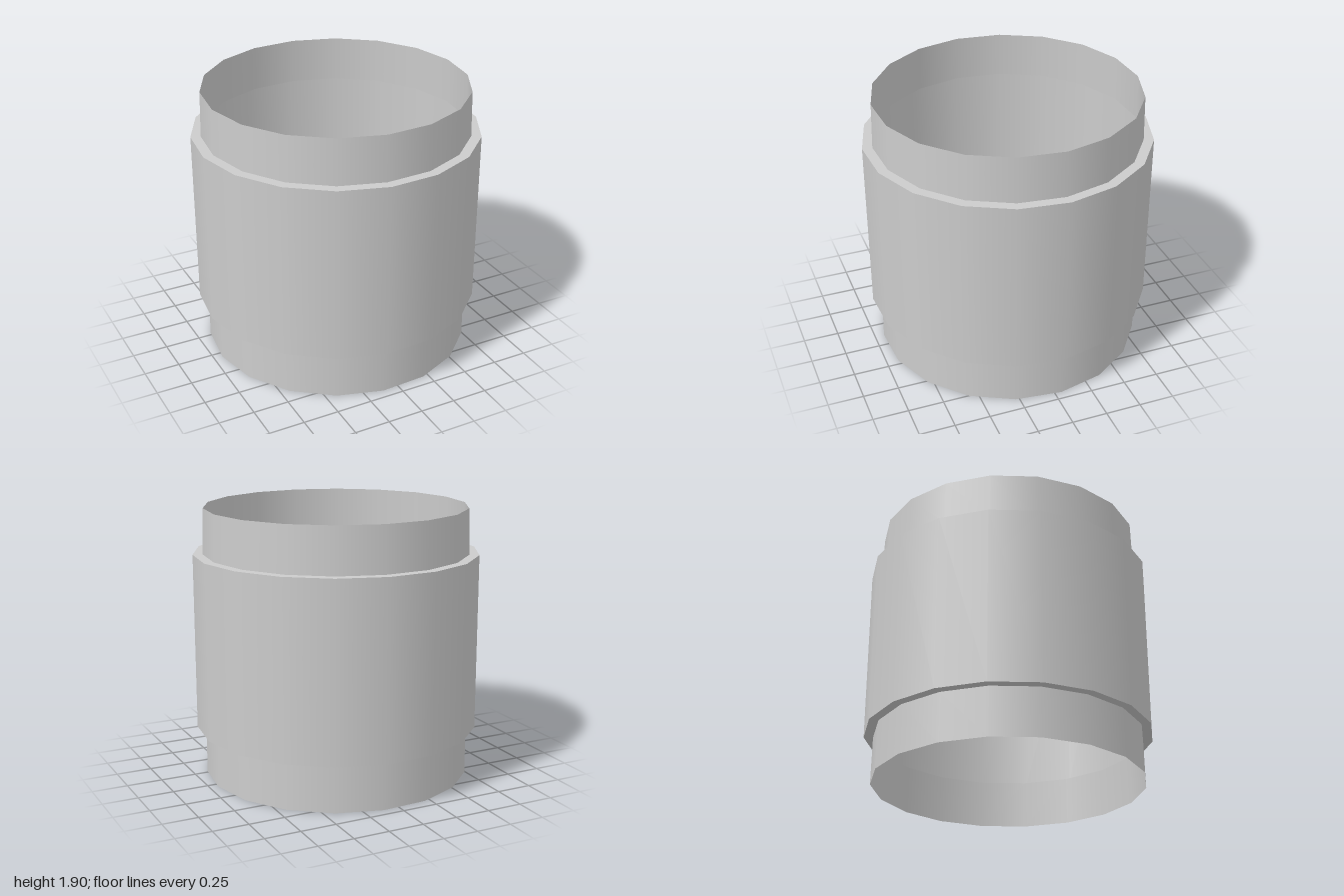
import * as THREE from 'three';

const SIDES = 18;
const TURN = THREE.MathUtils.degToRad(-7);

export function createModel() {
  const group = new THREE.Group();
  group.name = 'pipeCoupling';
  const material = new THREE.MeshStandardMaterial({ color: 0xcccccc, side: THREE.DoubleSide });

  // Open wall profile [radius, height], bottom to top
  const profile = [[0.94, 0], [0.935, 0.34], [1, 0.34], [1, 1.58], [0.93, 1.58], [0.922, 1.9]]
    .map(([r, y]) => new THREE.Vector2(r, y));
  const names = ['lowerCollar', 'lowerStep', 'sleeveBody', 'upperStep', 'upperCollar'];

  // One band per profile segment: smooth around, sharp at the steps
  names.forEach((name, i) => {
    const geometry = new THREE.LatheGeometry([profile[i], profile[i + 1]], SIDES, TURN);
    const band = new THREE.Mesh(geometry, material);
    band.name = name;
    group.add(band);
  });
  return group;
}
